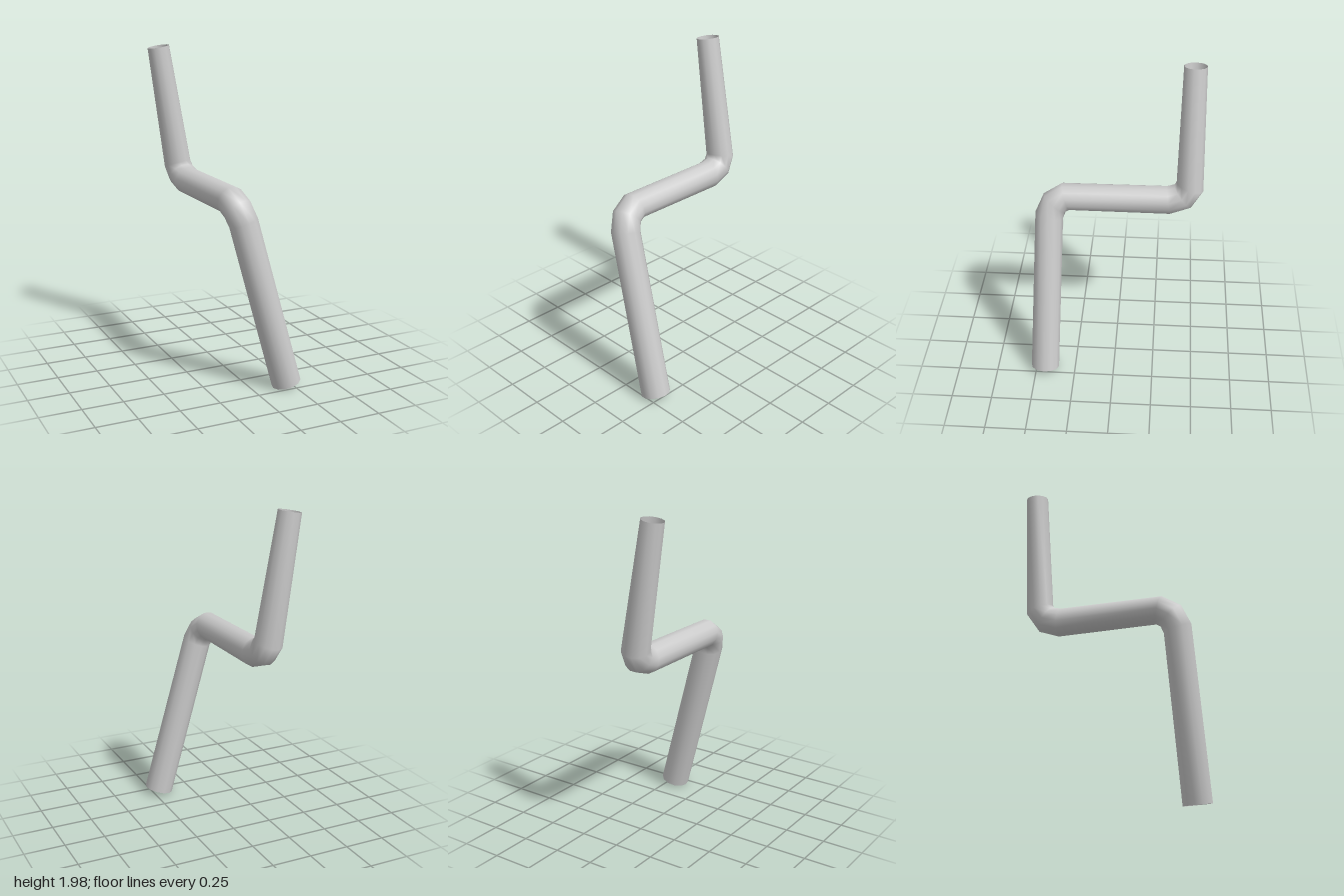
import * as THREE from 'three';

// Centreline of the bent pipe: x, y, z, radius
const PATH = [
  [0.21, 0.032, 0.442, 0.089],
  [-0.062, 1.035, 0.41, 0.087],
  [-0.086, 1.112, 0.376, 0.088],
  [-0.098, 1.152, 0.308, 0.087],
  [-0.099, 1.152, -0.315, 0.087],
  [-0.104, 1.18, -0.4, 0.087],
  [-0.116, 1.243, -0.441, 0.085],
  [-0.235, 1.98, -0.442, 0.068],
];
const SIDES = 12;

// Sweep a ring along the path, carrying its frame from point to point
function sweep(path, sides) {
  const pts = path.map(p => new THREE.Vector3(p[0], p[1], p[2]));
  const last = pts.length - 1;
  const dir = i => pts[i + 1].clone().sub(pts[i]).normalize();
  const positions = [], indices = [];
  const normal = new THREE.Vector3(0, 0, 1);
  pts.forEach((p, i) => {
    const tangent = dir(Math.min(i, last - 1)).add(dir(Math.max(i - 1, 0))).normalize();
    normal.addScaledVector(tangent, -normal.dot(tangent)).normalize();
    const side = tangent.clone().cross(normal);
    for (let j = 0; j < sides; j++) {
      const a = (j / sides) * Math.PI * 2;
      const v = p.clone()
        .addScaledVector(normal, Math.cos(a) * path[i][3])
        .addScaledVector(side, Math.sin(a) * path[i][3]);
      positions.push(v.x, v.y, v.z);
      if (i < last) {
        const k = (j + 1) % sides, r = i * sides, n = r + sides;
        indices.push(r + j, r + k, n + j, r + k, n + k, n + j);
      }
    }
  });
  const geometry = new THREE.BufferGeometry();
  geometry.setAttribute('position', new THREE.Float32BufferAttribute(positions, 3));
  geometry.setIndex(indices);
  geometry.computeVertexNormals();
  return geometry;
}

export function createModel() {
  const group = new THREE.Group();
  group.name = 'bentPipe';
  // Open-ended pipe, so the inside shows too
  const material = new THREE.MeshStandardMaterial({ color: 0xcccccc, side: THREE.DoubleSide });
  const pipe = new THREE.Mesh(sweep(PATH, SIDES), material);
  pipe.name = 'pipe';
  group.add(pipe);
  return group;
}
